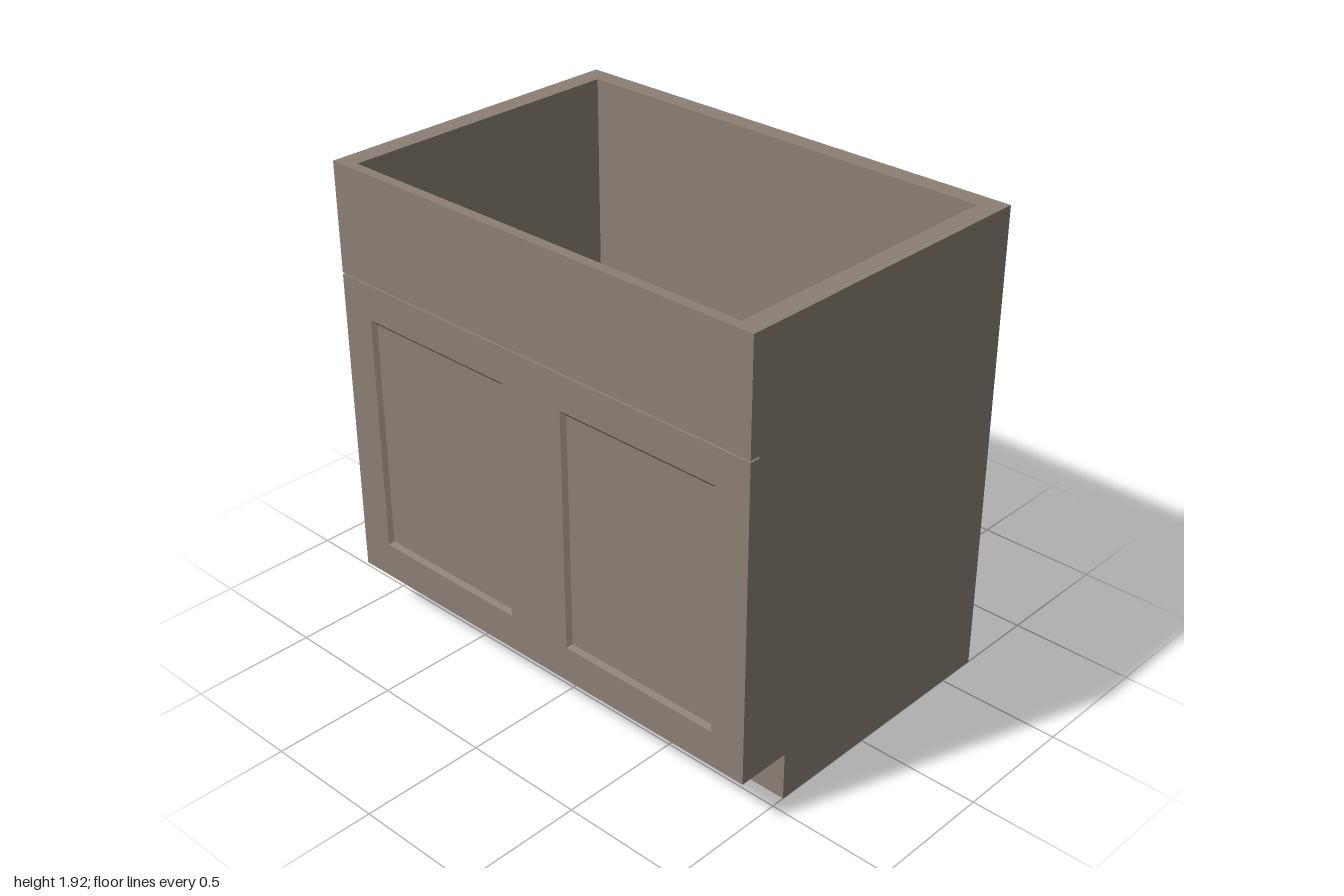
import * as THREE from 'three';

export function createModel() {
  const model = new THREE.Group();
  model.name = 'sinkBaseCabinet';
  const material = new THREE.MeshStandardMaterial({ color: 0x8c8075, flatShading: true });

  const add = (name, geometry) => {
    const mesh = new THREE.Mesh(geometry, material);
    mesh.name = name;
    model.add(mesh);
    return mesh;
  };
  // Box given by its minimum and maximum on each axis
  const box = (name, [x0, x1], [y0, y1], [z0, z1]) =>
    add(name, new THREE.BoxGeometry(x1 - x0, y1 - y0, z1 - z0)
      .translate((x0 + x1) / 2, (y0 + y1) / 2, (z0 + z1) / 2));
  const rectangle = (x0, x1, y0, y1) =>
    [[x0, y0], [x1, y0], [x1, y1], [x0, y1]].map(([x, y]) => new THREE.Vector2(x, y));

  const H = 1.92, W = 1, D = 0.667;       // height, half width, half depth
  const inX = 0.915, inBack = -0.59;      // inside of the walls
  const frontZ = 0.625;                   // inside of the front panels
  const kickY = 0.197, kickZ = 0.445;

  // Base set back behind the toe space
  box('toeKickBase', [-W, W], [0, kickY], [-D, kickZ]);

  // Back and side walls as one U-shaped wall
  const plan = new THREE.Shape([
    [-W, -frontZ], [-inX, -frontZ], [-inX, -inBack], [inX, -inBack],
    [inX, -frontZ], [W, -frontZ], [W, D], [-W, D],
  ].map(([x, y]) => new THREE.Vector2(x, y)));
  add('walls', new THREE.ExtrudeGeometry(plan, { depth: H - kickY, bevelEnabled: false })
    .rotateX(-Math.PI / 2).translate(0, kickY, 0));

  box('floor', [-inX, inX], [kickY, 0.24], [inBack, frontZ]);
  box('innerRail', [-inX, inX], [1.53, 1.59], [0.6, frontZ]);

  // False drawer front above a narrow gap
  box('drawerFront', [-W, W], [1.479, H], [frontZ, D]);

  // Door front with two openings
  const panel = { w: 0.71, h: 0.985, x: 0.5, y: 0.8375 };
  const door = new THREE.Shape(rectangle(-W, W, kickY, 1.472));
  for (const side of [-1, 1]) {
    const cx = side * panel.x;
    door.holes.push(new THREE.Path(rectangle(
      cx - panel.w / 2, cx + panel.w / 2, panel.y - panel.h / 2, panel.y + panel.h / 2).reverse()));
  }
  add('doorFront', new THREE.ExtrudeGeometry(door, { depth: D - frontZ, bevelEnabled: false })
    .translate(0, 0, frontZ));

  // Sunken panel: sloped border around a flat field, facing +z
  const sunkenPanel = () => {
    const slope = 0.017, depth = 0.015;
    const loop = (inset, z) => rectangle(
      -panel.w / 2 + inset, panel.w / 2 - inset, -panel.h / 2 + inset, panel.h / 2 - inset)
      .flatMap(p => [p.x, p.y, z]);
    const index = [4, 5, 6, 4, 6, 7];
    for (let i = 0; i < 4; i++) {
      const j = (i + 1) % 4;
      index.push(i, j, j + 4, i, j + 4, i + 4);
    }
    const g = new THREE.BufferGeometry();
    g.setAttribute('position', new THREE.Float32BufferAttribute([...loop(0, 0), ...loop(slope, -depth)], 3));
    g.setIndex(index);
    const flat = g.toNonIndexed();
    flat.computeVertexNormals();
    return flat;
  };
  for (const [side, label] of [[1, 'left'], [-1, 'right']]) {
    add(label + 'DoorPanel', sunkenPanel().translate(side * panel.x, panel.y, D));
    add(label + 'DoorPanelInside', sunkenPanel().rotateY(Math.PI).translate(side * panel.x, panel.y, frontZ));
  }

  return model;
}
